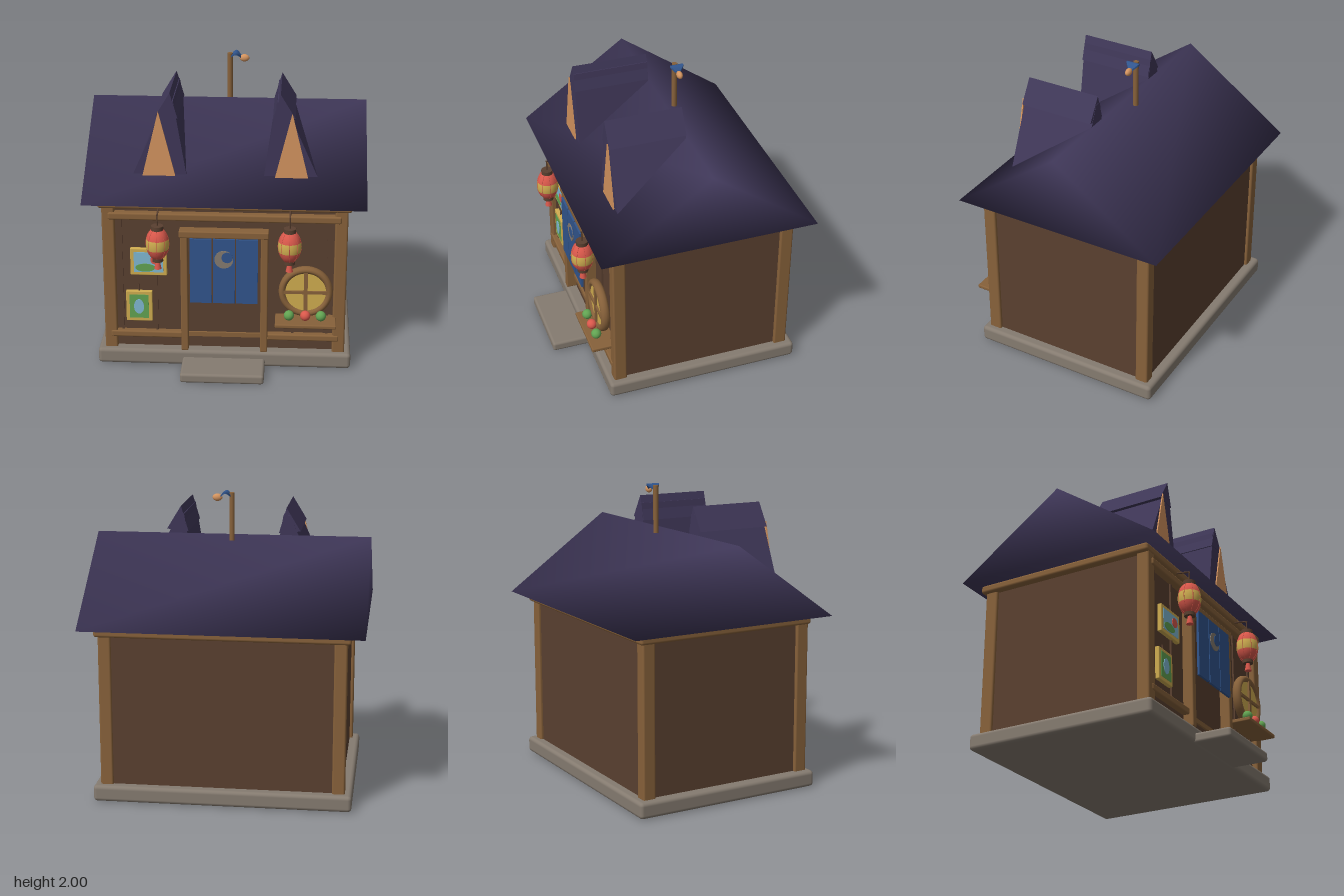
import * as THREE from 'three';
import { RoundedBoxGeometry } from 'three/addons/geometries/RoundedBoxGeometry.js';

const mat = (name, color) => {
  const m = new THREE.MeshStandardMaterial({ color, side: THREE.DoubleSide });
  m.name = name;
  return m;
};

export function createModel() {
  const root = new THREE.Group();
  root.name = 'cottage';
  const wood = mat('timber', 0x87613a), wall = mat('dark wall', 0x5a4030), roofMat = mat('roof purple', 0x3f3758);
  const blue = mat('cloth blue', 0x31558d), peach = mat('peach', 0xd4945f), stone = mat('stone', 0x857b70);
  const red = mat('red', 0xd9584b), gold = mat('gold', 0xd0ad50), green = mat('green', 0x62a352), sky = mat('sky blue', 0x80b8d2);

  const add = (name, geo, material, x = 0, y = 0, z = 0, parent = root) => {
    const m = new THREE.Mesh(geo, material);
    m.name = name;
    m.position.set(x, y, z);
    parent.add(m);
    return m;
  };
  // Box given by its limits; r rounds the edges
  const block = (name, material, x0, x1, y0, y1, z0, z1, r = 0) => {
    const s = [x1 - x0, y1 - y0, z1 - z0];
    const geo = r ? new RoundedBoxGeometry(...s, 2, r) : new THREE.BoxGeometry(...s);
    return add(name, geo, material, (x0 + x1) / 2, (y0 + y1) / 2, (z0 + z1) / 2);
  };
  const disc = (name, material, rx, ry, x, y, z, depth = 0.006) => {
    const m = add(name, new THREE.CylinderGeometry(1, 1, depth, 32), material, x, y, z);
    m.rotation.x = Math.PI / 2;
    m.scale.set(rx, 1, ry);
    return m;
  };
  const rod = (name, material, a, b, r) => add(name,
    new THREE.TubeGeometry(new THREE.LineCurve3(new THREE.Vector3(...a), new THREE.Vector3(...b)), 1, r, 8), material);
  const prism = (name, material, pts, z0, z1) => add(name, new THREE.ExtrudeGeometry(
    new THREE.Shape(pts.map(p => new THREE.Vector2(...p))), { depth: z1 - z0, bevelEnabled: false }), material, 0, 0, z0);

  // Base and walls
  block('foundation', stone, -0.853, 0.85, 0.005, 0.114, -0.75, 0.578, 0.025);
  block('doorStep', stone, -0.28, 0.275, 0, 0.066, 0.56, 0.82, 0.018);
  block('walls', wall, -0.785, 0.785, 0.1, 1.17, -0.685, 0.5);

  // Timber frame
  for (const s of [-1, 1]) {
    for (const z of [0.495, -0.66]) block('cornerPost', wood, s * 0.765 - 0.042, s * 0.765 + 0.042, 0.1, 1.14, z - 0.044, z + 0.044, 0.012);
    block('doorPost', wood, s * 0.265 - 0.024, s * 0.265 + 0.024, 0.112, 0.945, 0.48, 0.57, 0.008);
    block('lowerRail', wood, s * 0.525 - 0.24, s * 0.525 + 0.24, 0.192, 0.236, 0.48, 0.545, 0.01);
    for (const x of [0.455, 0.685]) block('wallRib', wall, s * x - 0.008, s * x + 0.008, 0.2, 1.06, 0.49, 0.512);
  }
  block('topBeam', wood, -0.833, 0.831, 1.12, 1.176, -0.73, 0.545, 0.018);
  block('frontBeam', wood, -0.765, 0.765, 1.045, 1.095, 0.48, 0.55, 0.012);
  block('lintel', wood, -0.297, 0.293, 0.937, 0.985, 0.48, 0.577, 0.008);
  block('doorSill', wood, -0.245, 0.245, 0.194, 0.225, 0.48, 0.515);

  // Door curtain with a crescent
  for (const x of [-0.153, 0, 0.151]) block('curtainPanel', blue, x - 0.072, x + 0.072, 0.48, 0.937, 0.572, 0.588);
  for (const x of [-0.076, 0.076]) block('curtainGap', wall, x - 0.005, x + 0.005, 0.48, 0.937, 0.57, 0.58);
  disc('moon', stone, 0.062, 0.062, 0, 0.797, 0.59);
  disc('moonShade', blue, 0.037, 0.037, 0.022, 0.812, 0.594);

  // Round window
  add('windowRing', new THREE.TorusGeometry(0.155, 0.024, 12, 48), wood, 0.54, 0.57, 0.56).scale.z = 1.3;
  disc('windowGlass', gold, 0.15, 0.15, 0.54, 0.57, 0.555, 0.04);
  block('windowBar', wood, 0.527, 0.553, 0.425, 0.715, 0.57, 0.588);
  block('windowBar', wood, 0.395, 0.685, 0.56, 0.58, 0.57, 0.588);

  // Shelf with fruit
  block('shelf', wood, 0.34, 0.745, 0.345, 0.372, 0.49, 0.67, 0.008);
  [[0.432, green], [0.54, red], [0.643, green]].forEach(([x, m]) =>
    add('fruit', new THREE.SphereGeometry(0.034, 20, 14), m, x, 0.415, 0.612));

  // Wall pictures
  const picture = (x0, x1, y0, y1, fill) => {
    block('pictureFrame', gold, x0, x1, y0, y1, 0.5, 0.53, 0.005);
    block('pictureCanvas', fill, x0 + 0.024, x1 - 0.024, y0 + 0.024, y1 - 0.024, 0.527, 0.533);
  };
  picture(-0.625, -0.382, 0.645, 0.835, sky);
  disc('paintedHill', green, 0.066, 0.028, -0.525, 0.702, 0.534);
  disc('paintedSun', red, 0.032, 0.032, -0.458, 0.76, 0.535);
  picture(-0.66, -0.484, 0.307, 0.525, green);
  disc('paintedPond', sky, 0.034, 0.053, -0.573, 0.416, 0.534);
  rod('pictureCord', wall, [-0.573, 0.52, 0.512], [-0.573, 0.57, 0.505], 0.005);

  // Hanging lanterns
  for (const s of [-1, 1]) {
    const g = new THREE.Group();
    g.name = 'lantern';
    g.position.set(s * 0.43, 0.92, 0.63);
    root.add(g);
    [[0.45, 0.81, red], [1.26, 0.62, gold], [1.88, 0.81, red]].forEach(([t, len, m]) =>
      add('lanternBody', new THREE.SphereGeometry(0.076, 24, 8, 0, Math.PI * 2, t, len), m, 0, 0, 0, g).scale.y = 1.5);
    for (let i = 0; i < 4; i++) {
      const rib = add('lanternRib', new THREE.TorusGeometry(0.076, 0.002, 4, 32), red, 0, 0, 0, g);
      rib.scale.y = 1.5;
      rib.rotation.y = i * Math.PI / 4;
    }
    add('lanternTop', new THREE.CylinderGeometry(0.04, 0.04, 0.03, 20), wall, 0, 0.11, 0, g);
    add('lanternBottom', new THREE.CylinderGeometry(0.036, 0.036, 0.028, 20), wall, 0, -0.11, 0, g);
    add('tassel', new THREE.CylinderGeometry(0.012, 0.024, 0.06, 12), red, 0, -0.148, 0, g);
    rod('lanternCord', wall, [s * 0.43, 1.03, 0.63], [s * 0.43, 1.118, 0.63], 0.005);
    rod('lanternArm', wall, [s * 0.43, 1.115, 0.634], [s * 0.43, 1.13, 0.53], 0.006);
  }

  // Main roof: closed prism with soft shading
  const section = [[1.18, 0.645], [1.7, -0.085], [1.18, -0.818]];
  const roof = new THREE.BufferGeometry();
  roof.setAttribute('position', new THREE.Float32BufferAttribute(
    [-0.922, 0.922].flatMap(x => section.flatMap(([y, z]) => [x, y, z])), 3));
  roof.setIndex([0, 1, 2, 3, 5, 4, 0, 3, 4, 0, 4, 1, 1, 4, 5, 1, 5, 2, 2, 5, 3, 2, 3, 0]);
  roof.computeVertexNormals();
  add('roof', roof, roofMat);

  // Leaning dormers, mirrored
  for (const s of [-1, 1]) {
    const flip = pts => pts.map(([x, y]) => [s * x, y]);
    prism('dormer', roofMat, flip([[0.61, 1.31], [0.25, 1.31], [0.335, 1.83], [0.38, 1.83]]), -0.08, 0.435);
    prism('dormerCap', roofMat, flip([[0.452, 1.725], [0.306, 1.712], [0.356, 1.882]]), -0.078, 0.438);
    prism('dormerFront', peach, flip([[0.54, 1.322], [0.325, 1.322], [0.432, 1.76]]), 0.437, 0.446);
  }

  // Roof post with ribbon and bulb
  add('roofPost', new THREE.CylinderGeometry(0.018, 0.018, 0.32, 16), wood, 0, 1.83, -0.155);
  const ribbon = new THREE.BoxGeometry(1, 0.014, 1, 12, 1, 2);
  const p = ribbon.attributes.position;
  for (let i = 0; i < p.count; i++) {
    const t = p.getX(i) + 0.5;
    const width = 0.03 + 0.06 * Math.sin(Math.PI * t);
    p.setXYZ(i, 0.005 + 0.07 * t, 1.965 + 0.028 * Math.sin(Math.PI * t) + p.getY(i), p.getZ(i) * width);
  }
  ribbon.computeVertexNormals();
  add('ribbon', ribbon, blue, 0, 0, -0.155);
  add('bulb', new THREE.SphereGeometry(1, 18, 12), peach, 0.097, 1.957, -0.155).scale.set(0.033, 0.025, 0.02);
  return root;
}
